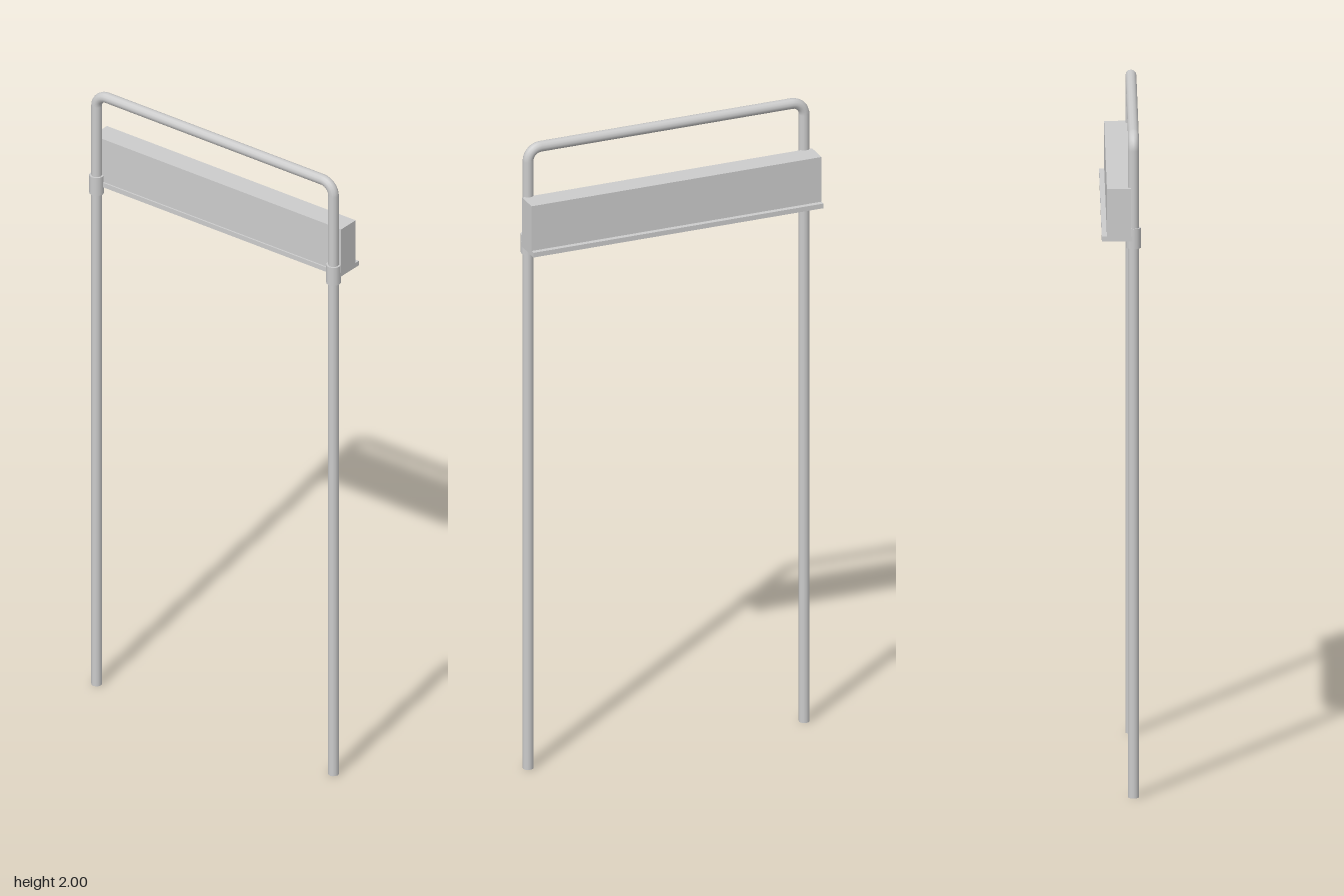
import * as THREE from 'three';

const TUBE_X = -0.036, TUBE_Z = 0.44, TUBE_R = 0.016, BEND_R = 0.04, SIDES = 12;
const BEND_Y = 2 - TUBE_R - BEND_R; // height where the legs start to bend

export function createModel() {
  const group = new THREE.Group();
  const material = new THREE.MeshStandardMaterial({ color: 0xcccccc });

  const add = (name, geometry, x, y, z) => {
    const mesh = new THREE.Mesh(geometry, material);
    mesh.name = name;
    mesh.position.set(x, y, z);
    group.add(mesh);
    return mesh;
  };

  // Hoop: two legs, two bends and the crossbar between them
  for (const side of [1, -1]) {
    const prefix = side > 0 ? 'front' : 'back';
    add(prefix + 'Leg', new THREE.CylinderGeometry(TUBE_R, TUBE_R, BEND_Y, SIDES), TUBE_X, BEND_Y / 2, side * TUBE_Z);

    const bend = new THREE.TorusGeometry(BEND_R, TUBE_R, SIDES, 8, Math.PI / 2);
    bend.rotateY(-side * Math.PI / 2);
    add(prefix + 'Bend', bend, TUBE_X, BEND_Y, side * (TUBE_Z - BEND_R));

    // Sleeve that clamps the shelf to the leg
    add(prefix + 'Collar', new THREE.CylinderGeometry(0.022, 0.022, 0.06, SIDES), TUBE_X, 1.682, side * TUBE_Z);
  }
  const bar = new THREE.CylinderGeometry(TUBE_R, TUBE_R, 2 * (TUBE_Z - BEND_R), SIDES);
  bar.rotateX(Math.PI / 2);
  add('crossbar', bar, TUBE_X, 2 - TUBE_R, 0);

  // Thin ledge with the long box resting on it
  add('ledge', new THREE.BoxGeometry(0.09, 0.015, 0.924), 0.012, 1.683, 0);
  add('box', new THREE.BoxGeometry(0.07, 0.143, 0.924), 0.007, 1.762, 0);

  return group;
}
